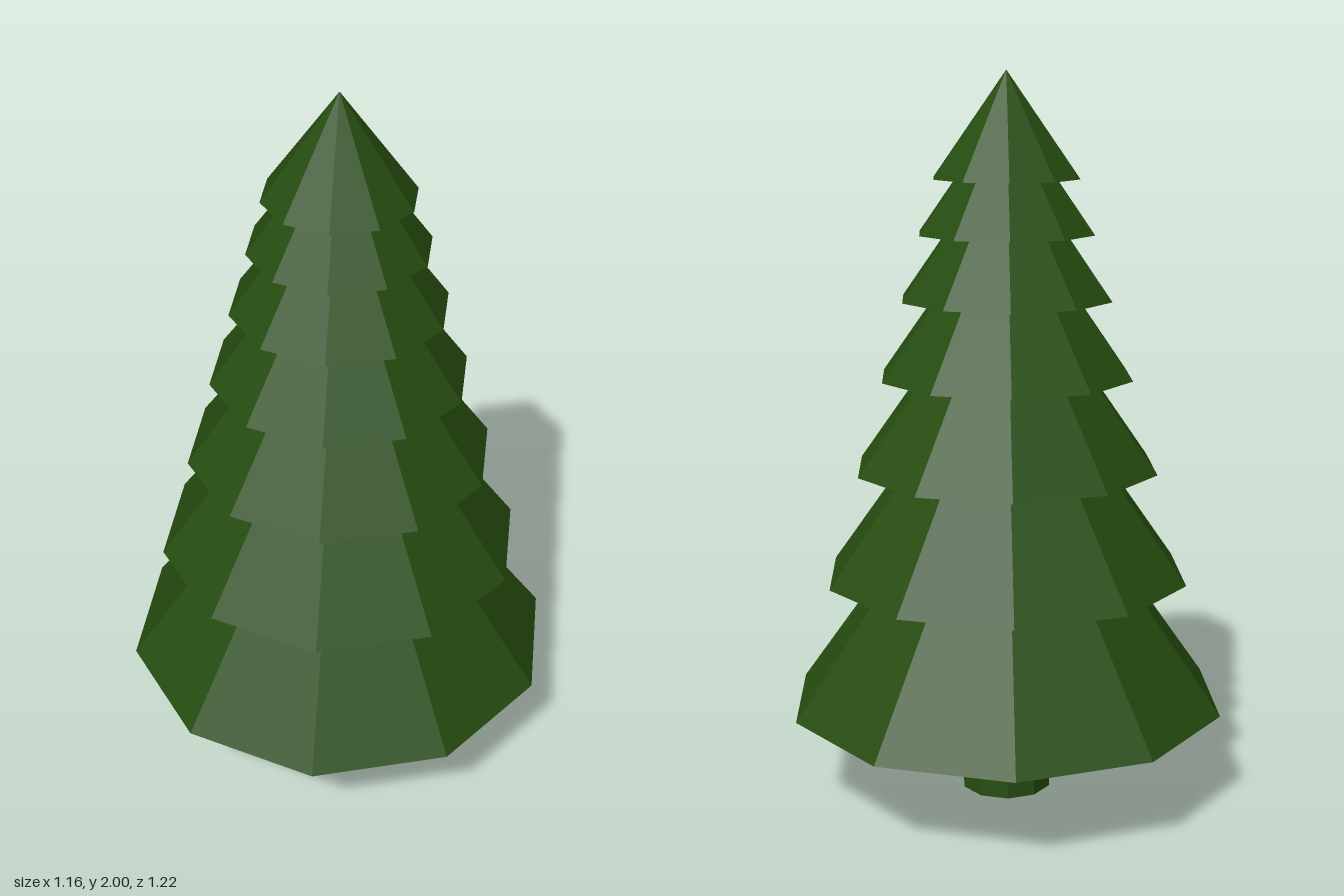
import * as THREE from 'three';

export function createModel() {
  const tree = new THREE.Group();
  tree.name = 'pineTree';

  const green = new THREE.MeshStandardMaterial({ color: 0x264d10, flatShading: true });
  green.name = 'pine green';
  const SIDES = 10;

  // Tapered trunk, ending inside the lowest tier
  const trunkHeight = 0.3;
  const trunk = new THREE.Mesh(new THREE.CylinderGeometry(0.115, 0.127, trunkHeight, SIDES), green);
  trunk.name = 'trunk';
  trunk.position.y = trunkHeight / 2;
  tree.add(trunk);

  // Seven closed cones, each smaller than the one below by the same ratio
  const tiers = 7;
  const ratio = 0.8325;
  const slope = 1.403; // height per unit of radius
  let radius = 0.611;
  let base = 0.26;
  let step = 0.366;
  for (let i = 0; i < tiers; i++) {
    const height = i === tiers - 1 ? 2 - base : radius * slope;
    const tier = new THREE.Mesh(new THREE.ConeGeometry(radius, height, SIDES), green);
    tier.name = `branchTier${i + 1}`;
    tier.position.y = base + height / 2;
    tree.add(tier);
    base += step;
    step *= ratio;
    radius *= ratio;
  }
  return tree;
}
